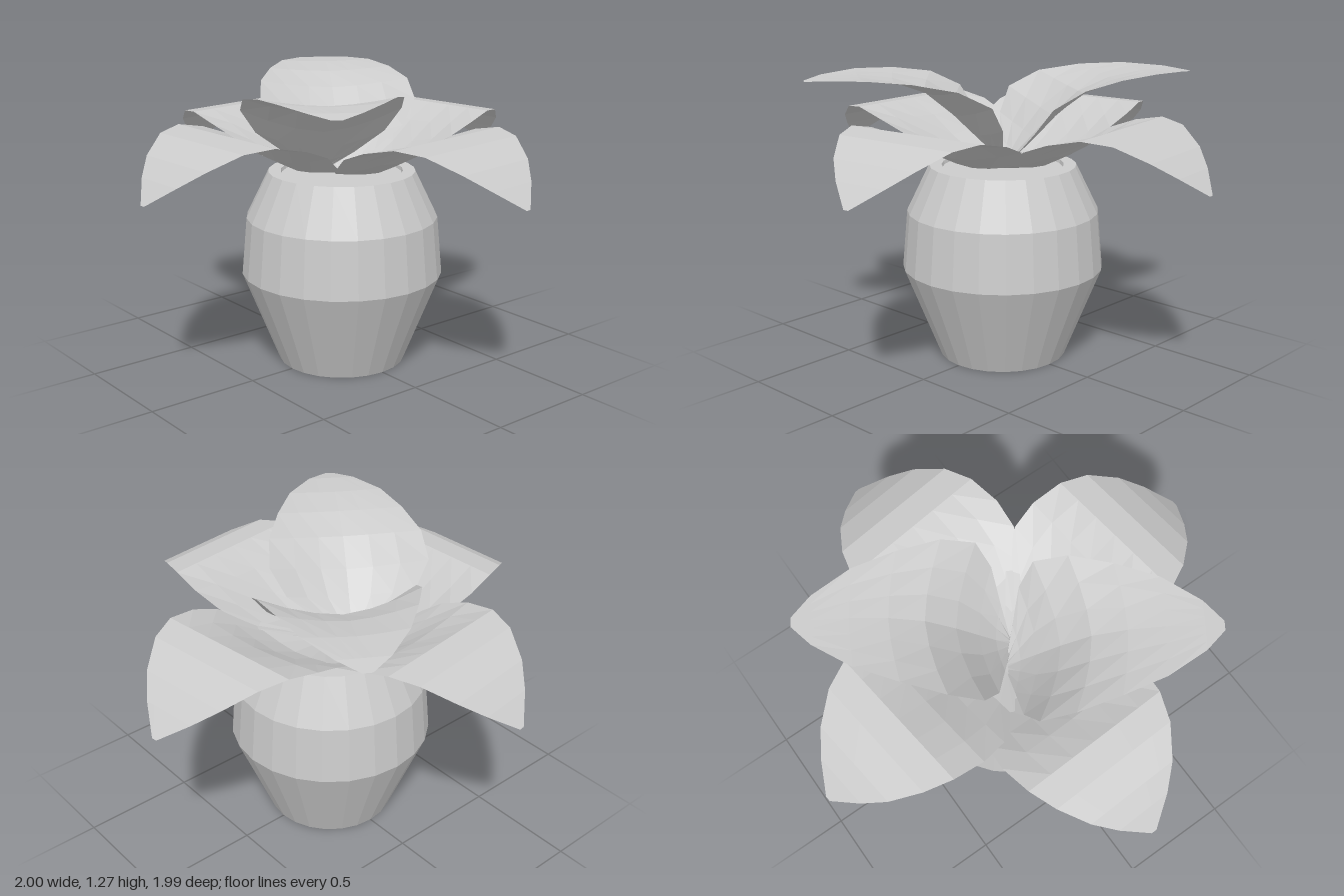
import * as THREE from 'three';

const material = new THREE.MeshStandardMaterial({
  color: 0xcccccc, flatShading: true, side: THREE.DoubleSide,
});

// Leaf stations: distance along, height, half width, edge pull-back, edge lift
const DROOPING = [
  [0, 0.86, 0.03, 0, 0], [0.1, 0.87, 0.14, 0, 0.02], [0.22, 0.89, 0.27, 0, 0.05],
  [0.34, 0.95, 0.34, 0, 0.07], [0.46, 1.03, 0.355, 0, 0.035], [0.6, 1.095, 0.335, 0, 0],
  [0.72, 1.08, 0.29, 0, 0], [0.84, 1.015, 0.21, 0, 0], [0.92, 0.95, 0.125, 0, 0],
  [1, 0.87, 0.012, 0, 0],
];
const UPRIGHT = [
  [0, 0.87, 0.03, 0, 0], [0.06, 0.92, 0.15, 0.03, 0.03], [0.13, 0.99, 0.28, 0.07, 0.06],
  [0.22, 1.08, 0.345, 0.1, 0.08], [0.34, 1.18, 0.335, 0.08, 0.05],
  [0.48, 1.235, 0.28, 0.04, 0.025], [0.63, 1.26, 0.21, 0.01, 0.01],
  [0.78, 1.262, 0.105, 0, 0], [0.86, 1.25, 0.02, 0, 0],
];

// Cupped leaf lofted through its stations, from a base (x, z) to a tip (x, z)
function makeLeaf(name, stations, [bx, bz], [tx, tz]) {
  const across = 6;
  const length = Math.hypot(tx - bx, tz - bz);
  const scale = length / stations[stations.length - 1][0];
  const dx = (tx - bx) / length, dz = (tz - bz) / length;
  const positions = [], index = [];
  stations.forEach(([s, y, halfWidth, back, lift], i) => {
    for (let j = 0; j <= across; j++) {
      const v = (j / across) * 2 - 1;
      const cup = Math.abs(v) ** 1.6;
      const along = s * scale - back * cup;
      const side = v * halfWidth;
      positions.push(bx + dx * along - dz * side, y + lift * cup, bz + dz * along + dx * side);
      if (i && j) {
        const d = i * (across + 1) + j, c = d - 1, b = d - across - 1, a = b - 1;
        index.push(a, b, c, b, d, c);
      }
    }
  });
  const geometry = new THREE.BufferGeometry();
  geometry.setAttribute('position', new THREE.Float32BufferAttribute(positions, 3));
  geometry.setIndex(index);
  geometry.computeVertexNormals();
  const leaf = new THREE.Mesh(geometry, material);
  leaf.name = name;
  return leaf;
}

export function createModel() {
  const model = new THREE.Group();
  model.name = 'pottedPlant';

  // Faceted pot with a narrow rim and a shallow inner lip
  const profile = [
    [0, 0], [0.285, 0], [0.448, 0.41], [0.425, 0.665], [0.325, 0.87], [0.27, 0.87], [0.265, 0.85],
  ].map(([r, y]) => new THREE.Vector2(r, y));
  const pot = new THREE.Mesh(new THREE.LatheGeometry(profile, 24), material);
  pot.name = 'pot';
  model.add(pot);

  // Soil just below the rim
  const soil = new THREE.Mesh(new THREE.CircleGeometry(0.268, 24).rotateX(-Math.PI / 2), material);
  soil.name = 'soil';
  soil.position.y = 0.855;
  model.add(soil);

  // Four drooping outer leaves and two upright inner ones
  model.add(
    makeLeaf('leftLeaf', DROOPING, [0, 0], [1, -0.13]),
    makeLeaf('rightLeaf', DROOPING, [0, -0.04], [-1, 0]),
    makeLeaf('frontLeaf', DROOPING, [0, 0], [0.12, 0.99]),
    makeLeaf('backLeaf', DROOPING, [0, 0], [-0.12, -1]),
    makeLeaf('upperBackLeaf', UPRIGHT, [0, 0], [0.46, -0.74]),
    makeLeaf('upperFrontLeaf', UPRIGHT, [-0.07, -0.07], [-0.55, 0.65]),
  );
  return model;
}
